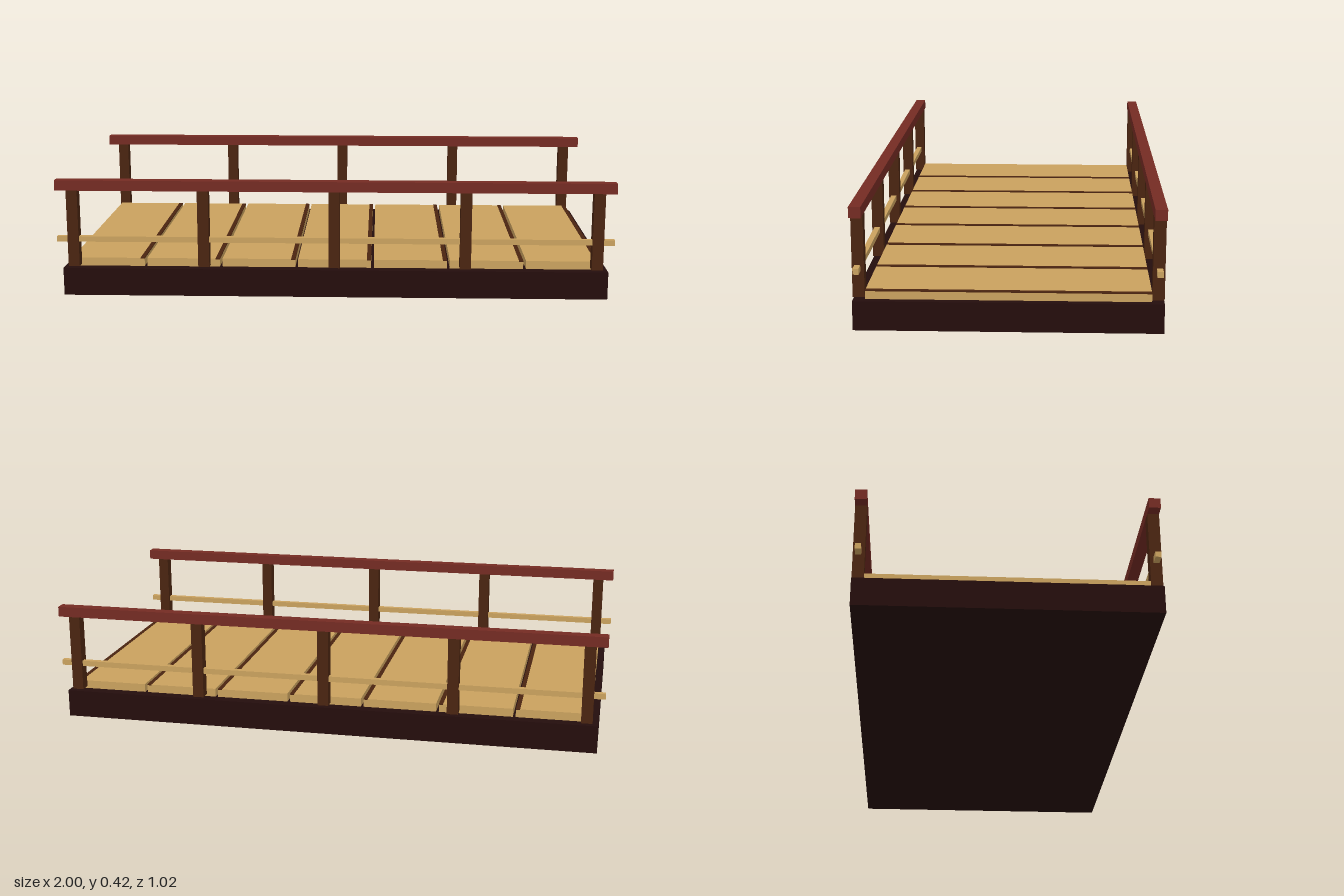
import * as THREE from 'three';

export function createModel() {
  const root = new THREE.Group();
  root.name = 'footbridge';

  const material = (name, color) => {
    const m = new THREE.MeshStandardMaterial({ color });
    m.name = name;
    return m;
  };
  const darkWood = material('dark base wood', 0x240d0c);
  const tanWood = material('tan plank wood', 0xc9a15e);
  const brownWood = material('brown post wood', 0x4a2410);
  const redWood = material('red handrail wood', 0x742b23);

  // Box given by its centre x and z, its bottom and top
  const box = (parent, name, mat, w, d, bottom, top, x = 0, z = 0) => {
    const mesh = new THREE.Mesh(new THREE.BoxGeometry(w, top - bottom, d), mat);
    mesh.position.set(x, (bottom + top) / 2, z);
    mesh.name = name;
    parent.add(mesh);
  };

  box(root, 'base', darkWood, 1.96, 1.02, 0, 0.1);

  // Deck planks, each with a thin dark strip along its +x edge
  const deck = new THREE.Group();
  deck.name = 'deck';
  root.add(deck);
  const pitch = 1.92 / 7;
  const plankWidth = pitch - 0.01;
  for (let i = 0; i < 7; i++) {
    const x = (i - 3) * pitch;
    box(deck, 'plank', tanWood, plankWidth, 0.94, 0.1, 0.127, x);
    box(deck, 'plankSeam', brownWood, 0.015, 0.94, 0.127, 0.131, x + plankWidth / 2 - 0.0075);
    box(deck, 'plankTop', tanWood, plankWidth - 0.015, 0.94, 0.127, 0.13, x - 0.0075);
  }

  // Matching railings on the front and back edges
  for (const side of [1, -1]) {
    const railing = new THREE.Group();
    railing.name = side > 0 ? 'frontRailing' : 'backRailing';
    root.add(railing);
    const z = side * 0.49;
    for (let i = -2; i <= 2; i++) {
      box(railing, 'post', brownWood, 0.04, 0.04, 0.108, 0.386, i * 0.47, z);
    }
    box(railing, 'handrail', redWood, 2, 0.04, 0.386, 0.423, 0, z);
    box(railing, 'middleRail', tanWood, 2, 0.02, 0.197, 0.217, 0, z + side * 0.002);
  }
  return root;
}
